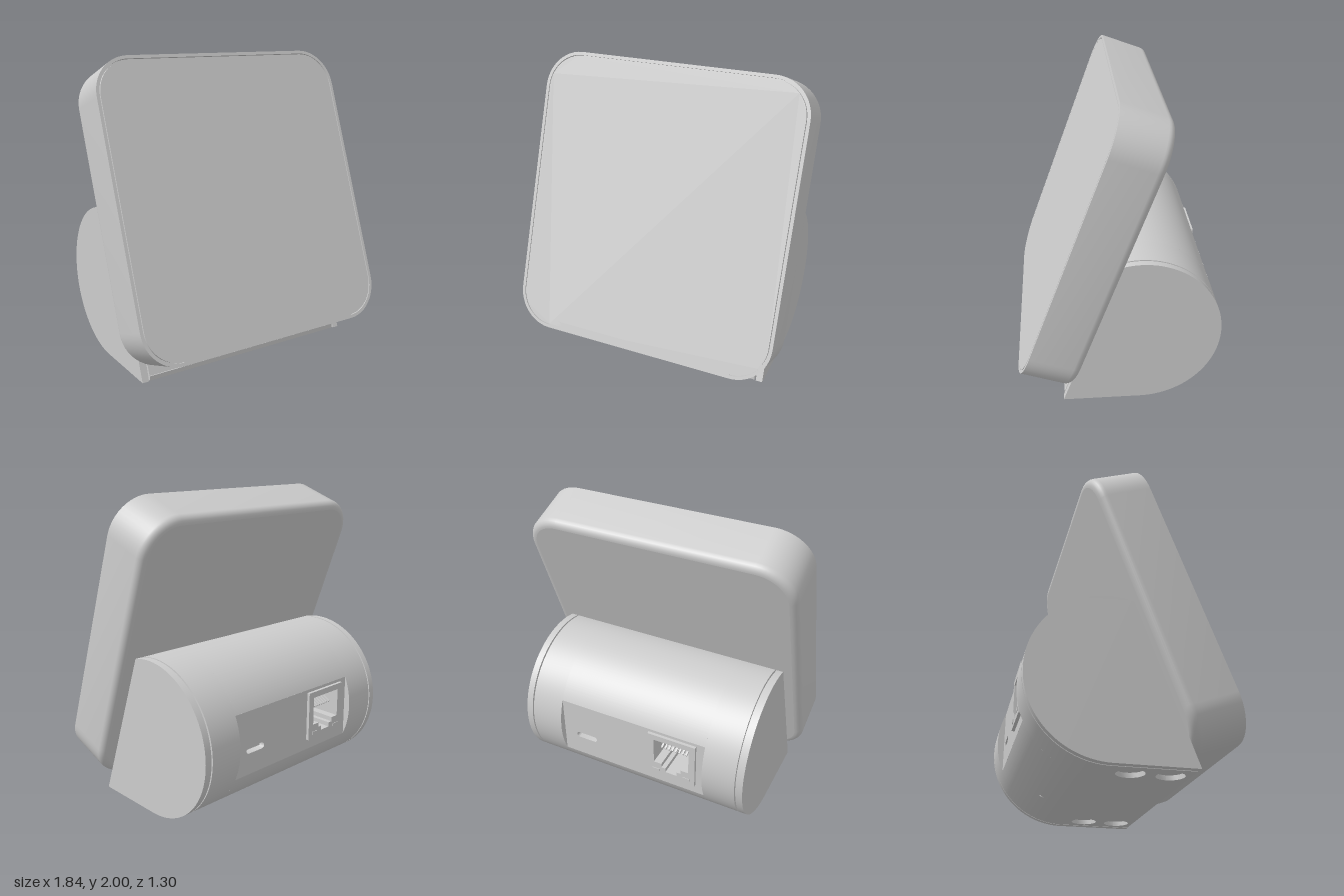
import * as THREE from 'three';
import { toCreasedNormals } from 'three/addons/utils/BufferGeometryUtils.js';

const W = 0.92, H = 0.9575, D = 0.34, CORNER = 0.25, FILLET = 0.05; // display half sizes, depth, radii
const R = 0.51, CZ = -0.135, CY = 0.51;                             // stand barrel

// Outline of a rounded rectangle, counter-clockwise
function roundedPoints(w, h, r, n = 12, cx = 0, cy = 0) {
  const pts = [];
  for (let c = 0; c < 4; c++) {
    const sx = c === 0 || c === 3 ? 1 : -1, sy = c < 2 ? 1 : -1;
    for (let i = 0; i <= n; i++) {
      const a = (c + i / n) * Math.PI / 2;
      pts.push(new THREE.Vector2(cx + sx * (w - r) + r * Math.cos(a), cy + sy * (h - r) + r * Math.sin(a)));
    }
  }
  return pts;
}
const slot = (cx, cy, w, h, r = Math.min(w, h) * 0.98) => roundedPoints(w, h, r, 6, cx, cy);
const rectangle = (x0, x1, y0, y1) => [[x0, y0], [x1, y0], [x1, y1], [x0, y1]].map(p => new THREE.Vector2(...p));

function extrude(shape, depth, holes = []) {
  shape.holes = holes.map(h => new THREE.Path(h));
  const g = new THREE.ExtrudeGeometry(shape, { depth, bevelEnabled: false, curveSegments: 48 });
  return toCreasedNormals(g, 0.5);
}

// Hollow display housing: lofted loops from the screen groove, over the rim, to the rounded back
function housingGeometry() {
  const n = 12, rings = [[0.028, -0.02], [0.021, -0.02], [0.021, 0], [0, 0]];
  for (let i = 0; i <= 6; i++) {
    const a = i / 6 * Math.PI / 2;
    rings.push([FILLET * (1 - Math.cos(a)), -(D - FILLET) - FILLET * Math.sin(a)]);
  }
  const loops = rings.map(([inset, z]) =>
    roundedPoints(W - inset, H - inset, CORNER - inset, n).map(p => [p.x, p.y, z]));
  const pos = [], count = loops[0].length;
  for (let k = 0; k < loops.length - 1; k++) {
    for (let j = 0; j < count; j++) {
      if (k === 3 && j === 3 * (n + 1) - 1) continue; // opening for the underside panel
      const a = loops[k], b = loops[k + 1], m = (j + 1) % count;
      pos.push(...a[j], ...b[j], ...b[m], ...a[j], ...b[m], ...a[m]);
    }
  }
  const g = new THREE.BufferGeometry();
  g.setAttribute('position', new THREE.Float32BufferAttribute(pos, 3));
  return toCreasedNormals(g, 0.5);
}

// Side profile of the stand (shape x is depth, shape y is height)
function standProfile({ inset = 0, floor = 0, notch = false }) {
  const s = new THREE.Shape(), r = R - inset, end = -285.2 * Math.PI / 180;
  const y = Math.max(inset, floor);
  s.moveTo(0.363 - 0.364 * y - inset, y);
  s.lineTo(CZ, y);
  if (notch) {
    s.absarc(CZ, CY, r, -Math.PI / 2, -Math.PI + 0.424, true);
    s.lineTo(-0.38, 0.3);
    s.lineTo(-0.38, 0.72);
    s.absarc(CZ, CY, r, -Math.PI - 0.424, end, true);
  } else {
    s.absarc(CZ, CY, r, -Math.PI / 2, end, true);
  }
  s.closePath();
  return s;
}

export function createModel() {
  const model = new THREE.Group();
  const grey = new THREE.MeshStandardMaterial({ color: 0xcccccc });
  grey.name = 'light grey plastic';
  const add = (parent, name, geometry, x = 0, y = 0, z = 0) => {
    const m = new THREE.Mesh(geometry, grey);
    m.name = name;
    m.position.set(x, y, z);
    parent.add(m);
    return m;
  };
  const box = (x, y, z) => new THREE.BoxGeometry(x, y, z);

  // Tilted display
  const display = new THREE.Group();
  display.name = 'display';
  display.position.set(0, 1.1, 0.325);
  display.rotation.x = -20 * Math.PI / 180;
  model.add(display);
  add(display, 'displayHousing', housingGeometry());
  const inset = 0.026;
  add(display, 'screen', extrude(new THREE.Shape(roundedPoints(W - inset, H - inset, CORNER - inset)), 0.03), 0, 0, -0.03);
  const back = new THREE.ShapeGeometry(new THREE.Shape(roundedPoints(W - FILLET, H - FILLET, CORNER - FILLET)));
  add(display, 'displayBack', back.rotateY(Math.PI), 0, 0, -D);

  // Underside of the display with speaker holes and a port
  const holes = [-0.39, -0.34, -0.29, -0.24].map(x => slot(x, -0.175, 0.012, 0.025));
  holes.push(slot(0.425, -0.175, 0.09, 0.03));
  const under = extrude(new THREE.Shape(rectangle(-(W - CORNER), W - CORNER, -(D - FILLET), 0)), 0.06, holes);
  add(display, 'undersidePanel', under.rotateX(Math.PI / 2), 0, -H + 0.06, 0);
  add(display, 'undersideBacking', box(1.3, 0.01, 0.2), 0, -H + 0.062, -0.16);
  add(display, 'displayPortTongue', box(0.12, 0.045, 0.014), 0.425, -H + 0.04, -0.175);

  // Barrel stand, built as slices along x
  const stand = new THREE.Group();
  stand.name = 'stand';
  model.add(stand);
  const slice = (name, x0, x1, options) =>
    add(stand, name, extrude(standProfile(options), x1 - x0).rotateY(-Math.PI / 2), x1);
  slice('standMiddle', -0.53, 0.53, { floor: 0.03, notch: true });
  for (const [side, s] of [['left', 1], ['right', -1]]) {
    const span = (name, a, b, o) => slice(side + name, Math.min(s * a, s * b), Math.max(s * a, s * b), o);
    span('StandShoulder', 0.53, 0.755, { floor: 0.03 });
    span('SeamCore', 0.754, 0.766, { inset: 0.02 });
    span('EndCap', 0.765, 0.81, {});
  }

  // Bottom plate with four round foot recesses
  const feet = [];
  for (const x of [-0.63, 0.63]) for (const z of [0.005, 0.24]) feet.push(slot(x, z, 0.086, 0.086, 0.0859));
  const bottom = extrude(new THREE.Shape(rectangle(-0.755, 0.755, CZ, 0.358)), 0.03, feet);
  add(stand, 'bottomPlate', bottom.rotateX(Math.PI / 2), 0, 0.03, 0);

  // Small reset button on the underside of the barrel
  const t = 27 * Math.PI / 180;
  const reset = add(stand, 'resetButton', new THREE.CylinderGeometry(0.015, 0.015, 0.01, 16),
    0.21, CY - R * Math.cos(t), CZ - R * Math.sin(t));
  reset.rotation.x = t;

  // Rear connector panel; local x is mirrored because the group faces backwards
  const rear = new THREE.Group();
  rear.name = 'rearPanel';
  rear.position.z = -0.6;
  rear.rotation.y = Math.PI;
  model.add(rear);
  const px = -0.355, py = 0.46, nx = 0.3, ny = 0.535;
  add(rear, 'connectorPlate', extrude(new THREE.Shape(rectangle(-0.53, 0.53, 0.3, 0.72)), 0.22,
    [slot(px, py, 0.088, 0.03), rectangle(nx - 0.16, nx + 0.16, ny - 0.155, ny + 0.155)]), 0, 0, -0.22);

  // Power port
  add(rear, 'powerPortRim', extrude(new THREE.Shape(slot(px, py, 0.088, 0.03)), 0.1,
    [slot(px, py, 0.078, 0.021)]), 0, 0, -0.1);
  add(rear, 'powerPortTongue', box(0.12, 0.012, 0.19), px, py, -0.12);

  // Network socket: stepped opening, contacts and status lights
  const opening = [[-0.125, 0.125], [-0.125, -0.065], [-0.07, -0.065], [-0.07, -0.095], [-0.04, -0.095],
    [-0.04, -0.125], [0.04, -0.125], [0.04, -0.095], [0.07, -0.095], [0.07, -0.065], [0.125, -0.065], [0.125, 0.125]]
    .map(([x, y]) => new THREE.Vector2(nx + x, ny + y));
  add(rear, 'networkSocket', extrude(new THREE.Shape(rectangle(nx - 0.17, nx + 0.17, ny - 0.165, ny + 0.165)), 0.22,
    [opening]), 0, 0, -0.2);
  for (let i = 0; i < 8; i++) {
    const pin = add(rear, 'socketContact', box(0.012, 0.012, 0.15), nx - 0.0875 + i * 0.025, ny + 0.07, -0.09);
    pin.rotation.x = 0.5;
  }
  for (const s of [-1, 1]) add(rear, 'statusLight', box(0.05, 0.02, 0.008), nx + s * 0.11, ny - 0.125, 0.02);

  return model;
}
